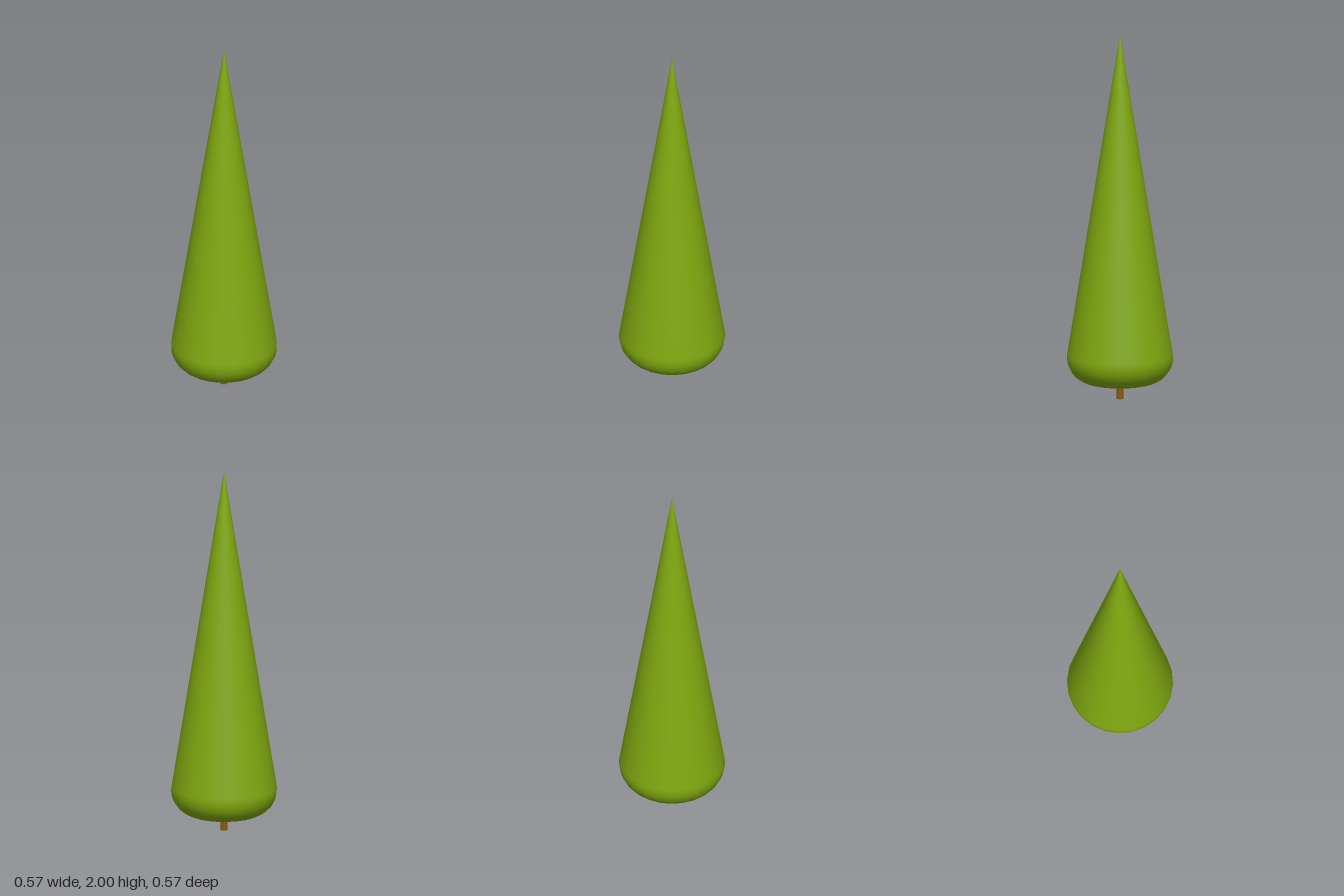
import * as THREE from 'three';

export function createModel() {
  const group = new THREE.Group();
  group.name = 'coniferTree';

  const base = 0.09, corner = 0.135, flatRadius = 0.15, height = 2;

  // Foliage: flat underside, rounded rim, straight taper to a point
  const profile = [new THREE.Vector2(0, base)];
  const steps = 10;
  const start = -Math.PI / 2, end = THREE.MathUtils.degToRad(9.2);
  for (let i = 0; i <= steps; i++) {
    const a = start + (end - start) * i / steps;
    profile.push(new THREE.Vector2(
      flatRadius + corner * Math.cos(a),
      base + corner + corner * Math.sin(a)
    ));
  }
  // Rings up the taper keep the shading even
  const rim = profile[profile.length - 1].clone();
  const tip = new THREE.Vector2(0, height);
  for (let i = 1; i <= 8; i++) profile.push(rim.clone().lerp(tip, i / 8));

  const foliage = new THREE.Mesh(
    new THREE.LatheGeometry(profile, 24),
    new THREE.MeshStandardMaterial({ color: 0x80a810 })
  );
  foliage.name = 'foliage';
  group.add(foliage);

  // Trunk: short thin post, sunk slightly into the foliage
  const trunkHeight = base + 0.02;
  const trunk = new THREE.Mesh(
    new THREE.CylinderGeometry(0.019, 0.019, trunkHeight, 12),
    new THREE.MeshStandardMaterial({ color: 0x8a5a0a })
  );
  trunk.name = 'trunk';
  trunk.position.y = trunkHeight / 2;
  group.add(trunk);

  return group;
}
